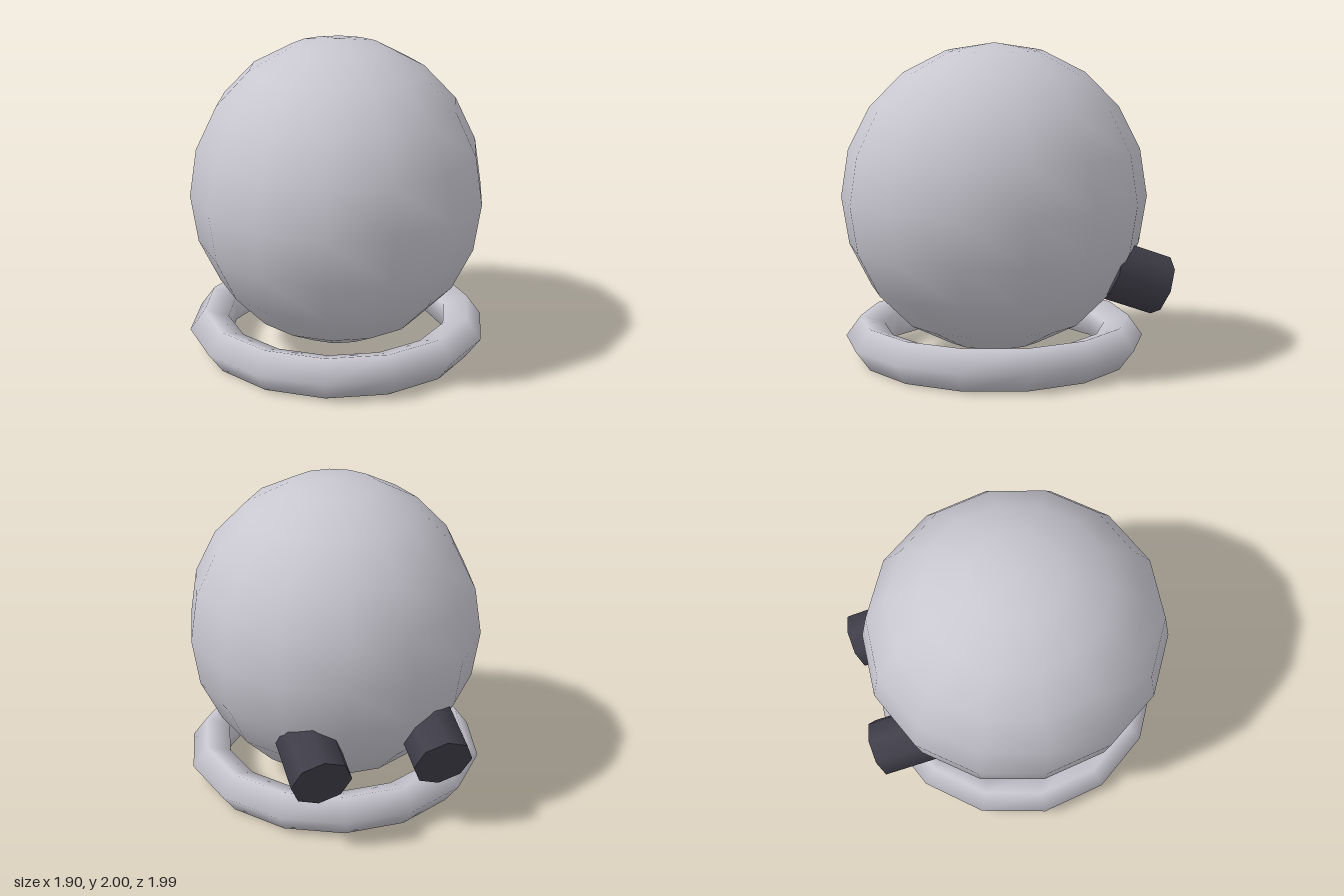
import * as THREE from 'three';

export function createModel() {
  const model = new THREE.Group();
  model.name = 'sphericalPod';

  const paleGrey = new THREE.MeshStandardMaterial({ color: 0xc8c7d0 });
  paleGrey.name = 'pale grey';
  const charcoal = new THREE.MeshStandardMaterial({ color: 0x3f3e49 });
  charcoal.name = 'charcoal';

  const add = (name, geometry, material, x, y, z) => {
    const mesh = new THREE.Mesh(geometry, material);
    mesh.name = name;
    mesh.position.set(x, y, z);
    model.add(mesh);
    return mesh;
  };

  // Globe body, slightly narrower from side to side
  const globe = add('globe', new THREE.SphereGeometry(0.97, 14, 10), paleGrey, 0, 1.03, 0.05);
  globe.scale.x = 0.953;

  // Ring the globe sits in, with a five-sided tube
  const ring = add('baseRing', new THREE.TorusGeometry(0.813, 0.137, 5, 14), paleGrey, 0, 0.13, 0.05);
  ring.rotation.x = Math.PI / 2;

  // Pair of thrusters at the lower back, pointing back and down
  for (const side of [1, -1]) {
    const thruster = add(
      side > 0 ? 'leftThruster' : 'rightThruster',
      new THREE.CylinderGeometry(0.188, 0.188, 0.355, 8),
      charcoal, side * 0.382, 0.545, -0.766
    );
    thruster.rotation.x = -THREE.MathUtils.degToRad(110);
  }

  return model;
}
